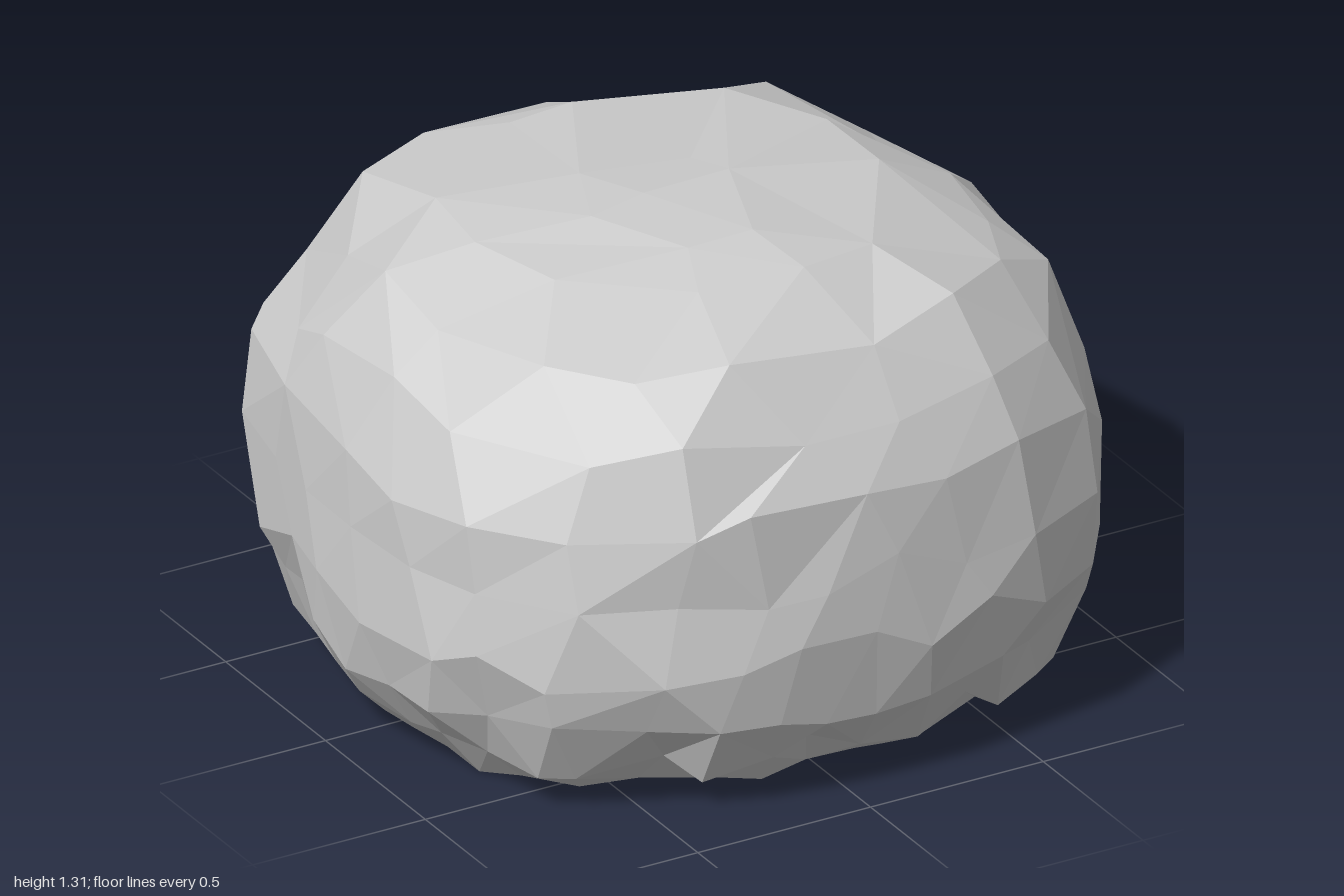
import * as THREE from 'three';

// Small seeded generator returning -1..1
function seeded(seed) {
  return () => {
    seed = (seed * 16807) % 2147483647;
    return (seed / 2147483647) * 2 - 1;
  };
}

// Cross-sections from underside to crown: [y, -x, +x, -z, +z, squareness, point count]
const SECTIONS = [
  [0.02, 0, 0, 0, 0, 2, 1],
  [0.03, 0.80, 0.82, 0.77, 0.76, 2.8, 36],
  [0.12, 0.90, 0.91, 0.87, 0.87, 2.9, 38],
  [0.27, 0.98, 0.97, 0.95, 0.94, 3, 36],
  [0.45, 1.00, 1.00, 0.97, 0.97, 3, 32],
  [0.64, 0.98, 1.00, 0.96, 0.96, 3, 28],
  [0.84, 0.96, 0.98, 0.92, 0.93, 3, 24],
  [1.02, 0.88, 0.91, 0.87, 0.86, 2.9, 20],
  [1.16, 0.74, 0.78, 0.80, 0.74, 2.7, 17],
  [1.27, 0.53, 0.58, 0.60, 0.48, 2.5, 11],
  [1.31, 0.25, 0.18, 0.22, 0.32, 2.2, 6],
  [1.32, 0.08, -0.08, 0, 0, 2, 1],
];

// Chipped hollows: [angle in degrees from +x towards +z, height, angular width, height spread, depth]
const HOLLOWS = [
  [33, 0.22, 6, 0.22, 0.09], [25, 0.40, 5, 0.16, 0.05], [-27, 0.32, 6, 0.24, 0.10],
  [-38, 0.18, 5, 0.20, 0.08], [-6, 0.10, 7, 0.10, 0.06], [52, 0.25, 6, 0.2, 0.06],
  [82, 0.10, 28, 0.12, 0.06], [114, 0.64, 7, 0.07, 0.05], [126, 0.12, 7, 0.15, 0.09],
  [150, 0.25, 6, 0.16, 0.07], [142, 0.58, 6, 0.10, 0.05], [172, 0.15, 6, 0.18, 0.07],
  [200, 0.30, 6, 0.24, 0.09], [217, 0.25, 5, 0.25, 0.10], [238, 0.20, 7, 0.22, 0.10],
  [262, 0.22, 6, 0.18, 0.07], [290, 0.20, 7, 0.16, 0.07],
];

function hollowDepth(angle, y) {
  let depth = 0;
  for (const [deg, cy, width, spread, d] of HOLLOWS) {
    let da = THREE.MathUtils.radToDeg(angle) - deg;
    da -= 360 * Math.round(da / 360);
    depth += d * Math.exp(-((da / width) ** 2) - ((y - cy) / spread) ** 2);
  }
  return depth;
}

function makeRings() {
  const rand = seeded(4217);
  return SECTIONS.map(([y, x0, x1, z0, z1, n, count], k) => {
    const ring = [];
    const cx = (x1 - x0) / 2, cz = (z1 - z0) / 2;
    const rx = (x0 + x1) / 2, rz = (z0 + z1) / 2;
    for (let i = 0; i < count; i++) {
      const angle = ((i + (k % 2) * 0.5 + rand() * 0.3) / count) * Math.PI * 2;
      if (count === 1) {
        ring.push({ angle: 0, p: [cx, y, cz] });
        continue;
      }
      const c = Math.cos(angle), s = Math.sin(angle);
      // The front corner on -x is more rounded than the others
      const e = c < 0 && s > 0 ? n - 0.4 : n;
      let r = (Math.abs(c / rx) ** e + Math.abs(s / rz) ** e) ** (-1 / e);
      r *= 1 - hollowDepth(angle, y) + rand() * 0.012;
      const wobble = k === 1 ? 0.018 : y > 1.2 ? 0.008 : 0.05;
      ring.push({ angle, p: [cx + r * c, y + rand() * wobble, cz + r * s] });
    }
    return ring;
  });
}

// Stitch two rings of differing counts by always advancing the one that lags in angle
function stitch(low, high, out) {
  const at = (ring, i) => ring[i % ring.length];
  const angleAt = (ring, i) => at(ring, i).angle + Math.floor(i / ring.length) * Math.PI * 2;
  const lowSteps = low.length > 1 ? low.length : 0;
  const highSteps = high.length > 1 ? high.length : 0;
  let i = 0, j = 0;
  while (i < lowSteps || j < highSteps) {
    const a = at(low, i).p, b = at(high, j).p;
    const stepLow = j >= highSteps || (i < lowSteps && angleAt(low, i + 1) < angleAt(high, j + 1));
    if (stepLow) out.push(...a, ...b, ...at(low, ++i).p);
    else out.push(...a, ...b, ...at(high, ++j).p);
  }
}

export function createModel() {
  const group = new THREE.Group();
  group.name = 'rock';

  const rings = makeRings();
  const positions = [];
  for (let k = 0; k < rings.length - 1; k++) stitch(rings[k], rings[k + 1], positions);

  // Faceted boulder with a nearly flat underside
  const geometry = new THREE.BufferGeometry();
  geometry.setAttribute('position', new THREE.Float32BufferAttribute(positions, 3));
  geometry.computeVertexNormals();
  const boulder = new THREE.Mesh(
    geometry,
    new THREE.MeshStandardMaterial({ color: 0xcccccc, flatShading: true })
  );
  boulder.name = 'boulder';
  group.add(boulder);
  return group;
}
